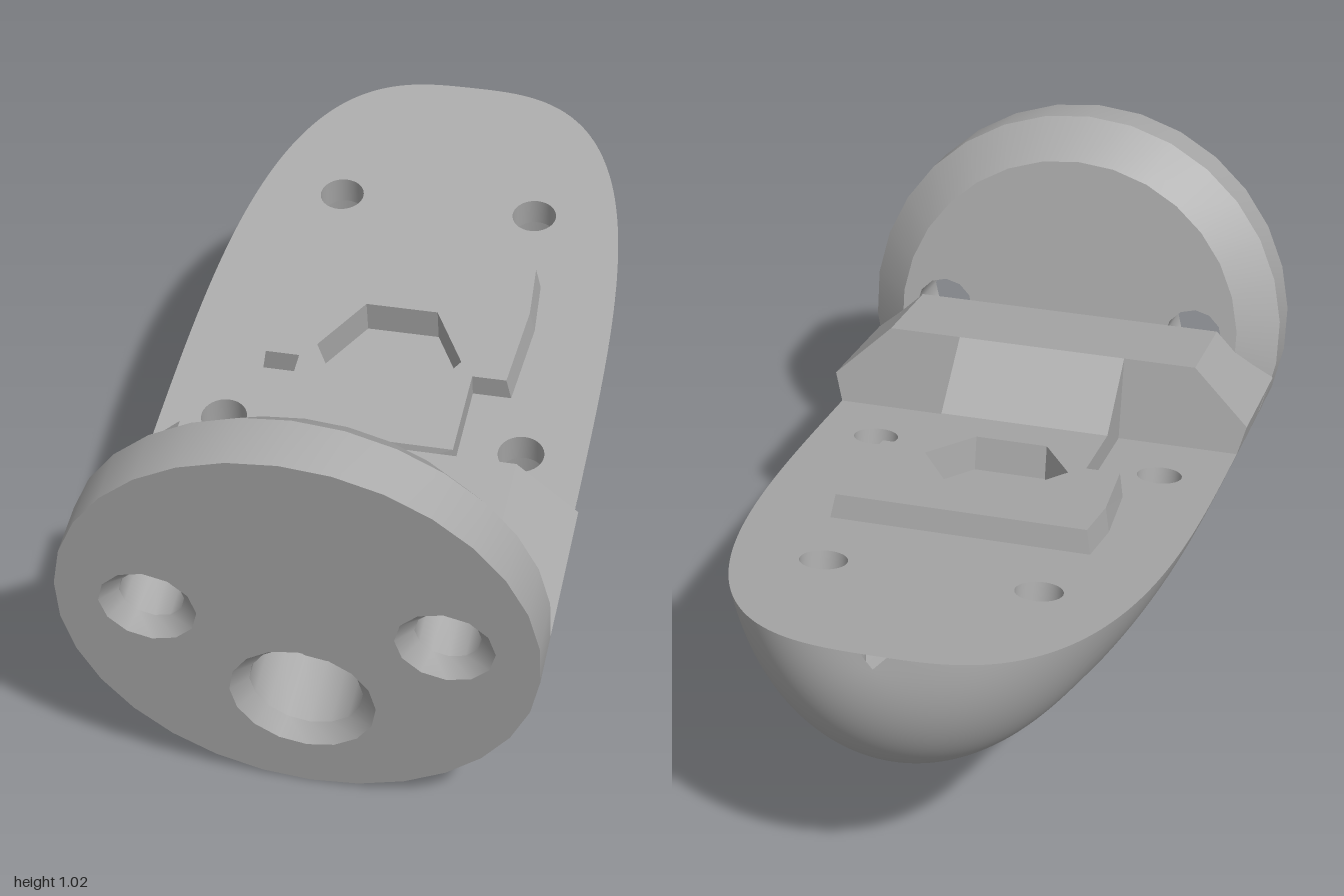
import * as THREE from 'three';
import { toCreasedNormals } from 'three/addons/utils/BufferGeometryUtils.js';

const R = 0.511;                 // radius of the round end plate and lower body
const DECK = 0.35, DECK_W = 0.485, TIP = 1.885;
const PAD_TOP = 0.406;

// Half width of the deck, and the height of the keel, at distance s from the front
const halfWidth = s => DECK_W * Math.cbrt(Math.max(0, 1 - Math.max(0, (s - 0.5) / (TIP - 0.5)) ** 3.5));
const keel = s => 0.32 - Math.sqrt(Math.max(0, 0.1024 - Math.max(0, s - 1.565) ** 2));

// Height of the rounded underside
function underside(x, s) {
  const h = halfWidth(s);
  const X = h > 1e-5 ? Math.min(DECK_W, Math.abs(x) * DECK_W / h) : 0;
  const v = R - Math.sqrt(R * R - X * X);
  return DECK - (DECK - v) * (DECK - keel(s)) / DECK;
}

const screwHoles = [[-0.34, 0.7], [0.34, 0.7], [-0.235, 1.456], [0.235, 1.456]];
const RIM = 0.125, BORE = 0.098, SHANK = 0.052;
const HEX = [0, 0.903, 0.167];

function ringPoints(x, y, r, n, start = 0) {
  return Array.from({ length: n }, (_, i) => {
    const a = start + i / n * Math.PI * 2;
    return new THREE.Vector2(x + r * Math.cos(a), y + r * Math.sin(a));
  });
}
const polygon = (...args) => new THREE.Path(ringPoints(...args));
const shapeOf = pts => new THREE.Shape(pts.map(p => new THREE.Vector2(p[0], p[1])));

// Underside grid; points falling inside a screw hole slide out to its rim
function undersideGeometry() {
  const rows = 170, cols = 80, pos = [], idx = [], inside = [];
  for (let i = 0; i <= rows; i++) {
    const s0 = 0.12 + (TIP - 0.12) * Math.sin(i / rows * Math.PI / 2);
    for (let j = 0; j <= cols; j++) {
      let s = s0, x = halfWidth(s0) * Math.sin((j / cols * 2 - 1) * Math.PI / 2), cut = false;
      for (const [hx, hs] of screwHoles) {
        const dx = x - hx, ds = s - hs, d = Math.hypot(dx, ds);
        if (d < RIM) {
          cut = true;
          x = hx + (d > 1e-6 ? dx / d : 1) * RIM;
          s = hs + (d > 1e-6 ? ds / d : 0) * RIM;
          break;
        }
      }
      inside.push(cut);
      pos.push(x, underside(x, s), -s);
    }
  }
  const tri = (a, b, c) => { if (!(inside[a] && inside[b] && inside[c])) idx.push(a, b, c); };
  for (let i = 0; i < rows; i++) for (let j = 0; j < cols; j++) {
    const a = i * (cols + 1) + j, b = a + cols + 1;
    tri(a, b, a + 1);
    tri(a + 1, b, b + 1);
  }
  const g = new THREE.BufferGeometry();
  g.setAttribute('position', new THREE.Float32BufferAttribute(pos, 3));
  g.setIndex(idx);
  g.computeVertexNormals();
  return g;
}

// Flared counterbore with a narrow shank hole up to the deck
function screwHoleGeometry(hx, hs) {
  const n = 32, pos = [], idx = [], seat = 0.28;
  const rings = [
    [RIM, v => v], [BORE, v => Math.min(seat, v + 0.03)], [BORE, () => seat],
    [SHANK, () => seat], [SHANK, () => DECK]
  ];
  rings.forEach(([r, height]) => ringPoints(hx, hs, r, n).forEach(p =>
    pos.push(p.x, height(underside(p.x, p.y)), -p.y)));
  for (let k = 0; k < rings.length - 1; k++) for (let i = 0; i < n; i++) {
    const a = k * n + i, b = k * n + (i + 1) % n;
    idx.push(a, a + n, b, b, a + n, b + n);
  }
  const g = new THREE.BufferGeometry();
  g.setAttribute('position', new THREE.Float32BufferAttribute(pos, 3));
  g.setIndex(idx);
  return toCreasedNormals(g, 0.6);
}

// Turned part around the front-to-back axis; profile points are [radius, distance back]
function turned(profile, n, x, y) {
  const g = new THREE.LatheGeometry(profile.map(([r, s]) => new THREE.Vector2(r, -s)), n);
  return toCreasedNormals(g.rotateX(Math.PI / 2).translate(x, y, 0), 0.6);
}

// Cross-section run from distance s0 to s1
const crossExtrude = (shape, s0, s1) => new THREE.ExtrudeGeometry(shape,
  { depth: s1 - s0, bevelEnabled: false, curveSegments: 30 }).translate(0, 0, -s1);

export function createModel() {
  const metal = new THREE.MeshStandardMaterial({ color: 0xaaaaaa, side: THREE.DoubleSide });
  metal.name = 'plain grey';
  const foot = new THREE.Group();
  foot.name = 'tiltedBody';
  const add = (name, geometry) => {
    const m = new THREE.Mesh(geometry, metal);
    m.name = name;
    foot.add(m);
    return m;
  };

  // Round end plate with chamfered back edge
  const smallBores = [[-0.319, 0.527], [0.319, 0.527]].map(([x, y]) => [x * 0.98, y]);
  const bigBore = [0, 0.286];
  const face = new THREE.Shape(ringPoints(0, R, R, 30, -Math.PI / 2));
  face.holes.push(polygon(...bigBore, 0.158, 16, -Math.PI / 2));
  smallBores.forEach(p => face.holes.push(polygon(...p, 0.105, 12, -Math.PI / 2)));
  add('plateFront', new THREE.ShapeGeometry(face));
  add('plateRim', turned([[R, 0], [R, 0.12], [0.42, 0.21]], 30, 0, R));
  const back = new THREE.Shape(ringPoints(0, R, 0.42, 30, -Math.PI / 2));
  smallBores.forEach(p => back.holes.push(polygon(...p, 0.07, 12, -Math.PI / 2)));
  add('plateBack', new THREE.ShapeGeometry(back).rotateY(Math.PI).translate(0, 0, -0.21));

  // Chamfered bores in the plate
  add('largeBore', turned([[0.158, 0], [0.123, 0.035], [0.123, 0.2], [0, 0.2]], 16, ...bigBore));
  smallBores.forEach(p => add('smallBore', turned([[0.105, 0], [0.07, 0.035], [0.07, 0.21]], 12, ...p)));

  // Rounded underside and its screw holes
  add('underside', undersideGeometry());
  screwHoles.forEach(p => add('screwHole', screwHoleGeometry(...p)));

  // Fill around the plate chamfer
  const collar = new THREE.Shape();
  collar.moveTo(0.41, R);
  collar.absarc(0, R, R, -0.179, -Math.PI + 0.179, true);
  collar.lineTo(-0.41, R);
  collar.absarc(0, R, 0.41, Math.PI, Math.PI * 2, false);
  add('collar', crossExtrude(collar, 0.12, 0.21));

  // Bevelled block behind the plate
  add('block', crossExtrude(shapeOf([[-DECK_W, DECK], [DECK_W, DECK], [0.503, 0.42],
    [0.37, 0.55], [-0.37, 0.55], [-0.503, 0.42]]), 0.21, 0.495));

  // Flat deck with openings
  const edge = [];
  for (let i = 0; i <= 80; i++) {
    const s = 0.21 + (TIP - 0.21) * Math.sin(i / 80 * Math.PI / 2);
    edge.push([halfWidth(s), s]);
  }
  const deck = shapeOf([...edge, ...edge.slice(0, -1).reverse().map(([x, s]) => [-x, s])]);
  screwHoles.forEach(([x, s]) => deck.holes.push(polygon(x, s, SHANK, 32)));
  deck.holes.push(polygon(...HEX, 6));
  add('deck', new THREE.ShapeGeometry(deck).rotateX(-Math.PI / 2).translate(0, DECK, 0));

  // Raised pad with a hexagonal pocket; its sides lean in a little
  const half = [[0.2, 0.495], [0.2, 0.863], [0.288, 0.863], [0.303, 1.08], [0.292, 1.222]];
  const pad = shapeOf([...half, ...half.slice().reverse().map(([x, s]) => [-x, s])]);
  pad.holes.push(polygon(...HEX, 6));
  const padGeo = new THREE.ExtrudeGeometry(pad, { depth: PAD_TOP - DECK, bevelEnabled: false })
    .rotateX(-Math.PI / 2).translate(0, DECK, 0);
  const p = padGeo.attributes.position;
  for (let i = 0; i < p.count; i++)
    if (p.getY(i) > 0.38 && Math.abs(p.getX(i)) > 0.25) p.setX(i, p.getX(i) * 0.965);
  padGeo.computeVertexNormals();
  add('raisedPad', padGeo);

  // Lower walls and floor of the pocket
  const floorY = 0.325;
  const pocket = new THREE.Shape(ringPoints(...HEX, 6));
  add('pocketFloor', new THREE.ShapeGeometry(pocket).rotateX(-Math.PI / 2).translate(0, floorY, 0));
  add('pocketWalls', toCreasedNormals(new THREE.CylinderGeometry(HEX[2], HEX[2], DECK - floorY, 6, 1, true)
    .rotateY(Math.PI / 6).translate(0, (DECK + floorY) / 2, -HEX[1]), 0.5));

  // Ramp from the block down to the pad
  const ramp = new THREE.ExtrudeGeometry(shapeOf([[0.495, DECK], [0.638, DECK], [0.638, PAD_TOP], [0.495, 0.55]]),
    { depth: 0.4, bevelEnabled: false });
  add('ramp', ramp.rotateY(Math.PI / 2).translate(-0.2, 0, 0));

  foot.rotation.x = THREE.MathUtils.degToRad(12);
  foot.position.z = 0.79;
  const group = new THREE.Group();
  group.name = 'bracket';
  group.add(foot);
  return group;
}
